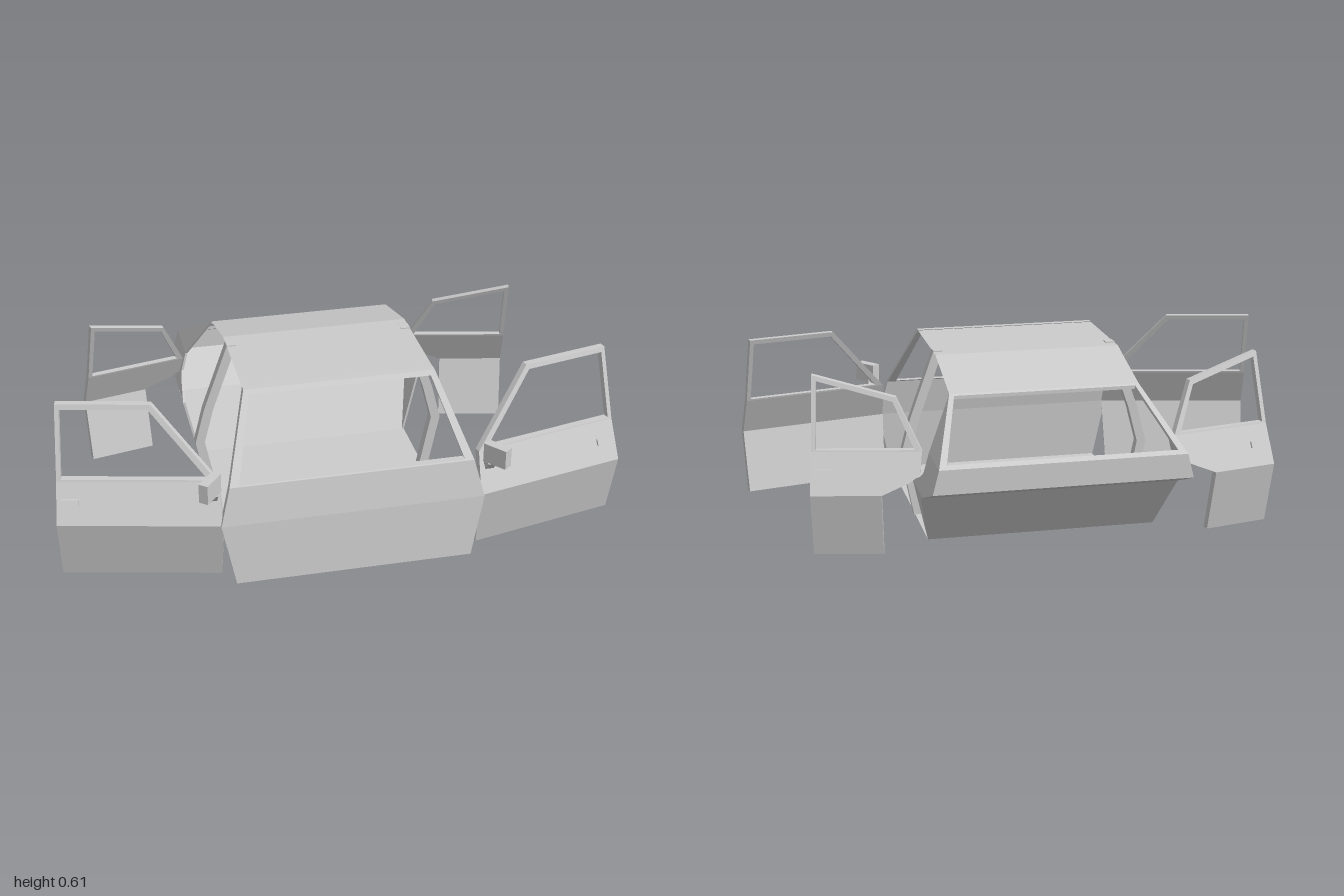
import * as THREE from 'three';

const material = new THREE.MeshStandardMaterial({ color: 0xcccccc, flatShading: true, side: THREE.DoubleSide });

// Piecewise-linear lookup through [key, value] pairs
function lerpTable(table, k) {
  let i = 0;
  while (i < table.length - 2 && k > table[i + 1][0]) i++;
  const [k0, v0] = table[i], [k1, v1] = table[i + 1];
  return v0 + (v1 - v0) * (k - k0) / (k1 - k0);
}

const WAIST = 0.225, BELT = 0.36;
const doorBulge = [[0, -0.05], [WAIST, 0], [BELT, -0.064], [0.61, -0.147]];
const pillarX = [[0, 0.415], [WAIST, 0.46], [BELT, 0.425], [0.61, 0.335]];
const quarterX = [[0, 0.41], [WAIST, 0.46], [BELT, 0.425], [0.535, 0.335]];
const frontZ = [[0, 0.597], [WAIST, 0.582], [BELT, 0.557], [0.61, 0.345]];

// Extruded outline in (a, b), w = depth from the outer skin, placed by a mapping rule
function panel(name, outline, hole, depth, map) {
  const toPoints = (list) => list.map(([a, b]) => new THREE.Vector2(a, b));
  const shape = new THREE.Shape(toPoints(outline));
  if (hole) shape.holes.push(new THREE.Path(toPoints(hole)));
  const geo = new THREE.ExtrudeGeometry(shape, { depth, bevelEnabled: false });
  const pos = geo.attributes.position;
  for (let i = 0; i < pos.count; i++) {
    pos.setXYZ(i, ...map(pos.getX(i), pos.getY(i), pos.getZ(i)));
  }
  geo.computeVertexNormals();
  const mesh = new THREE.Mesh(geo, material);
  mesh.name = name;
  return mesh;
}

// Sheet spanning the car's width through [y, z, halfWidth] stations
function sheet(name, stations) {
  const verts = [], index = [];
  stations.forEach(([y, z, w], i) => {
    verts.push(-w, y, z, w, y, z);
    if (i) {
      const a = 2 * i - 2;
      index.push(a, a + 1, a + 3, a, a + 3, a + 2);
    }
  });
  const geo = new THREE.BufferGeometry();
  geo.setAttribute('position', new THREE.Float32BufferAttribute(verts, 3));
  geo.setIndex(index);
  geo.computeVertexNormals();
  const mesh = new THREE.Mesh(geo, material);
  mesh.name = name;
  return mesh;
}

function rect(a0, b0, a1, b1) {
  return [[a0, b0], [a1, b0], [a1, b1], [a0, b1]];
}

// Open door: hinge, direction along the door, outward normal (all in x, z)
function door(name, hinge, dir, normal, parts) {
  const group = new THREE.Group();
  group.name = name;
  const map = (u, y, w) => {
    const d = lerpTable(doorBulge, y) - w;
    return [hinge[0] + dir[0] * u + normal[0] * d, y, hinge[1] + dir[1] * u + normal[1] * d];
  };
  group.add(
    panel('doorLowerPanel', parts.lower, null, 0.024, map),
    panel('doorUpperPanel', parts.upper, null, 0.024, map),
    panel('doorWindowFrame', parts.frame, parts.glass, 0.024, map),
    panel('doorHandle', parts.handle, null, 0.01, (u, y, w) => map(u, y, w - 0.008)),
  );
  return group;
}

function frontDoor() {
  const group = door('frontDoor', [0.45, 0.576], [0.975, -0.22], [0.22, 0.975], {
    lower: [[0.016, 0], [0.563, 0], [0.563, WAIST], [0, WAIST]],
    upper: [[0, WAIST], [0.563, WAIST], [0.563, BELT], [0.02, BELT]],
    frame: [[0.02, BELT], [0.563, BELT], [0.563, 0.61], [0.243, 0.61]],
    glass: [[0.052, 0.366], [0.548, 0.366], [0.548, 0.593], [0.252, 0.593]],
    handle: rect(0.487, 0.287, 0.545, 0.307),
  });
  // Wing mirror on a short stem
  const mirror = new THREE.Mesh(new THREE.BoxGeometry(0.09, 0.07, 0.034), material);
  mirror.name = 'wingMirror';
  mirror.position.set(0.495, 0.39, 0.588);
  mirror.rotation.y = -0.9;
  const stem = new THREE.Mesh(new THREE.BoxGeometry(0.03, 0.045, 0.025), material);
  stem.name = 'mirrorStem';
  stem.position.set(0.482, 0.34, 0.557);
  stem.rotation.set(0.7, 0, 0);
  group.add(mirror, stem);
  return group;
}

// Rear door, hinged at its back edge, with the wheel arch cut away
function rearDoor() {
  return door('rearDoor', [0.459, -0.476], [0.977, 0.215], [0.215, -0.977], {
    lower: rect(0.135, 0, 0.375, WAIST),
    upper: [[0.135, WAIST], [0.375, WAIST], [0.375, BELT], [0, BELT], [0.005, 0.29], [0.04, 0.265]],
    frame: [[0, BELT], [0.375, BELT], [0.375, 0.607], [0.09, 0.535]],
    glass: [[0.025, 0.366], [0.36, 0.366], [0.36, 0.588], [0.1, 0.521]],
    handle: rect(0.295, 0.287, 0.355, 0.307),
  });
}

// Everything on the +x side of the cabin
function cabinSide() {
  const side = new THREE.Group();
  side.add(frontDoor(), rearDoor());

  // Centre pillar follows the body side's bend
  const pillar = new THREE.Group();
  pillar.name = 'centrePillar';
  const levels = [0, WAIST, BELT, 0.61];
  for (let i = 0; i < 3; i++) {
    pillar.add(panel('pillarSection', rect(-0.019, levels[i], 0.019, levels[i + 1]), null, 0.034,
      (z, y, w) => [lerpTable(pillarX, y) - w, y, z]));
  }
  side.add(pillar);

  // Rear quarter: behind the seat, around the arch, and the roof pillar
  const quarter = new THREE.Group();
  quarter.name = 'rearQuarter';
  [
    [[-0.29, 0], [-0.29, WAIST], [-0.497, WAIST], [-0.43, 0.2]],
    [[-0.29, WAIST], [-0.39, 0.265], [-0.425, 0.29], [-0.43, BELT], [-0.63, BELT], [-0.63, 0.275], [-0.497, WAIST]],
    [[-0.43, BELT], [-0.33, 0.535], [-0.63, BELT]],
  ].forEach((outline) => quarter.add(panel('quarterPanel', outline, null, 0.008,
    (z, y, w) => [lerpTable(quarterX, y) - w, y, z])));
  side.add(quarter);
  return side;
}

export function createModel() {
  const model = new THREE.Group();
  model.name = 'carCabin';

  // Left and right sides
  for (const s of [1, -1]) {
    const side = cabinSide();
    side.name = s > 0 ? 'leftSide' : 'rightSide';
    side.scale.x = s;
    model.add(side);
  }

  // Front bulkhead and windscreen surround
  const frontMap = (x, y, w) => [x, y, lerpTable(frontZ, y) - w];
  const trapezoid = (w0, y0, w1, y1) => [[-w0, y0], [w0, y0], [w1, y1], [-w1, y1]];
  model.add(
    panel('bulkheadLower', trapezoid(0.415, 0, 0.46, WAIST), null, 0.025, frontMap),
    panel('bulkheadUpper', trapezoid(0.46, WAIST, 0.425, BELT), null, 0.025, frontMap),
    panel('windscreenFrame', trapezoid(0.425, BELT, 0.335, 0.61), trapezoid(0.392, 0.364, 0.318, 0.595), 0.025, frontMap),
  );

  // Roof, and the floor running up into the rear seat back, shelf and tail
  model.add(
    sheet('roof', [[0.608, 0.345, 0.335], [0.606, -0.06, 0.335], [0.535, -0.33, 0.335]]),
    sheet('floorAndRearWell', [[0, 0.595, 0.413], [0, -0.29, 0.41], [0.2, -0.43, 0.455], [0.275, -0.63, 0.447], [BELT, -0.63, 0.425]]),
  );

  // Rear window surround, leaning forward to the roof
  model.add(panel('rearWindowFrame', trapezoid(0.425, BELT, 0.335, 0.535), trapezoid(0.395, 0.371, 0.32, 0.529), 0.012,
    (x, y, w) => [x, y - w, -0.33 - (0.535 - y) * 0.3 / 0.175]));

  return model;
}
